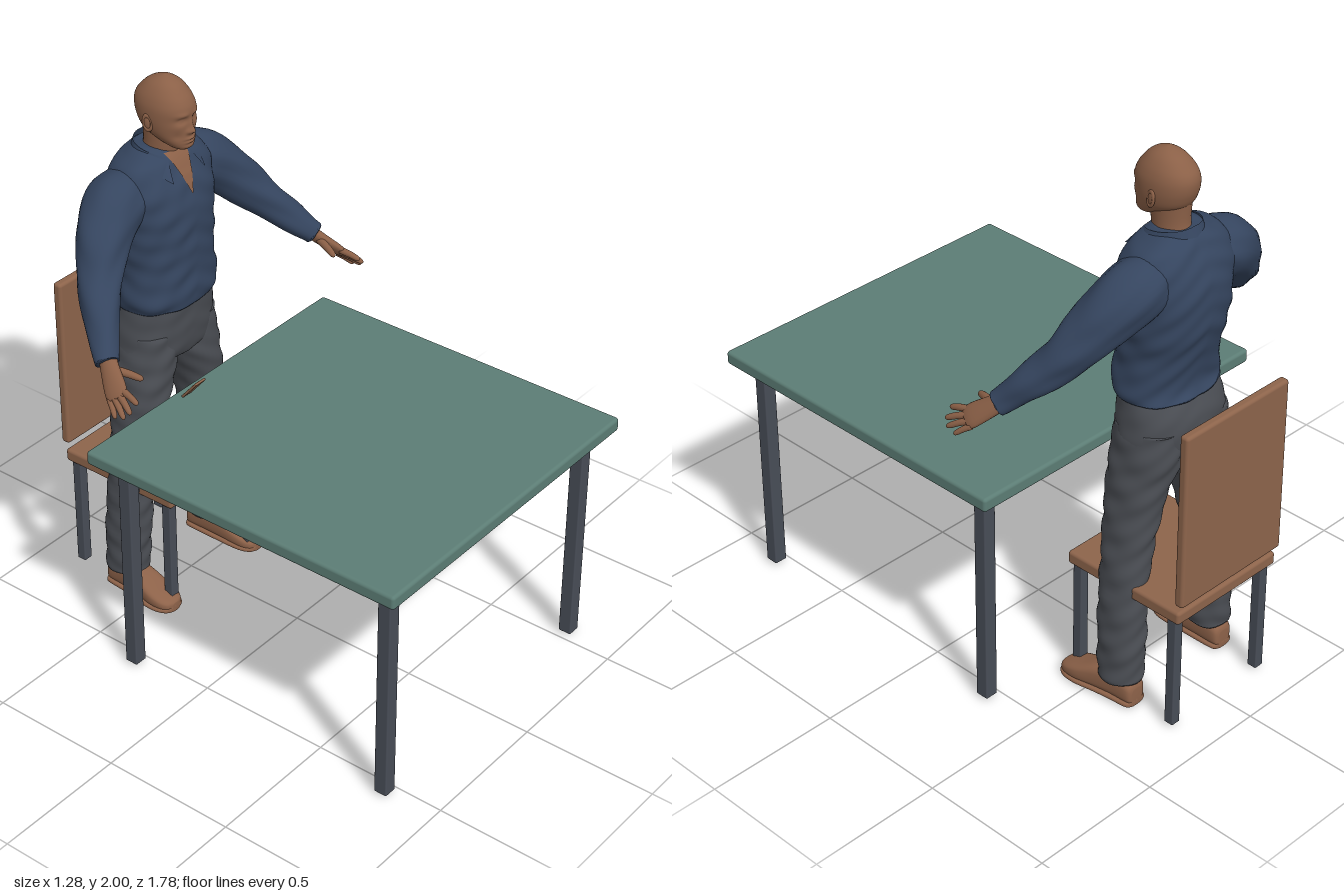
import * as THREE from 'three';
import { RoundedBoxGeometry } from 'three/addons/geometries/RoundedBoxGeometry.js';

const V = (x, y, z) => new THREE.Vector3(x, y, z);
const mat = (name, color, side = THREE.FrontSide) => {
  const m = new THREE.MeshStandardMaterial({ color, side });
  m.name = name;
  return m;
};

// Catmull-Rom interpolation of rows of numbers, n steps between rows
function smooth(rows, n) {
  const out = [];
  for (let i = 0; i < rows.length - 1; i++) {
    const a = rows[Math.max(i - 1, 0)], b = rows[i], c = rows[i + 1], d = rows[Math.min(i + 2, rows.length - 1)];
    for (let k = 0; k < n; k++) {
      const t = k / n;
      out.push(b.map((p, j) => {
        const cubic = 3 * (p - c[j]) + d[j] - a[j];
        const square = 2 * a[j] - 5 * p + 4 * c[j] - d[j];
        return p + 0.5 * t * (c[j] - a[j] + t * (square + t * cubic));
      }));
    }
  }
  out.push(rows[rows.length - 1]);
  return out;
}

// Closed superellipse ring spanned by the vectors a and b
function ring(c, a, b, seg, n = 2) {
  const p = (v) => Math.sign(v) * Math.abs(v) ** (2 / n);
  return Array.from({ length: seg }, (_, i) => {
    const t = (i / seg) * Math.PI * 2;
    return c.clone().addScaledVector(a, p(Math.cos(t))).addScaledVector(b, p(Math.sin(t)));
  });
}

// Skin over a list of rings, with both ends capped
function loft(rings) {
  const n = rings[0].length, last = (rings.length - 1) * n, pts = rings.flat(), index = [];
  const mid = (r) => r.reduce((s, p) => s.add(p), V(0, 0, 0)).divideScalar(n);
  pts.push(mid(rings[0]), mid(rings[rings.length - 1]));
  for (let i = 0; i < n; i++) {
    const k = (i + 1) % n;
    for (let j = 0; j < last; j += n) index.push(j + i, j + k, j + n + k, j + i, j + n + k, j + n + i);
    index.push(pts.length - 2, k, i, pts.length - 1, last + i, last + k);
  }
  const g = new THREE.BufferGeometry().setFromPoints(pts);
  g.setIndex(index);
  g.computeVertexNormals();
  return g;
}

// Upright body: rows of [y, centre x, half width, front z, back z], bottom to top
const upright = (rows, steps, seg, n) => loft(smooth(rows, steps).map(([y, x, rx, f, b]) =>
  ring(V(x, y, (f + b) / 2), V(0, 0, (f - b) / 2), V(rx, 0, 0), seg, n)));

// Limb: rows of [x, y, z, radius along side, other radius]
function limb(rows, steps, seg, side = V(0, 0, 1)) {
  const r = smooth(rows, steps), at = (i) => V(...r[Math.min(Math.max(i, 0), r.length - 1)].slice(0, 3));
  return loft(r.map((q, i) => {
    const t = at(i + 1).sub(at(i - 1)).normalize();
    const a = side.clone().addScaledVector(t, -side.dot(t)).normalize();
    return ring(at(i), a.clone().multiplyScalar(q[3]), t.clone().cross(a).multiplyScalar(q[4] ?? q[3]), seg);
  }));
}

// Soft cloth folds, pushed along the normals
function folds(g, amp) {
  const p = g.attributes.position, m = g.attributes.normal;
  for (let i = 0; i < p.count; i++) {
    const x = p.getX(i), y = p.getY(i), z = p.getZ(i);
    const d = amp * Math.sin(y * 62 + Math.abs(x) * 38) * Math.sin(z * 30 + y * 17 + x * 9);
    p.setXYZ(i, x + m.getX(i) * d, y + m.getY(i) * d, z + m.getZ(i) * d);
  }
  g.computeVertexNormals();
  return g;
}

// Open strip surface from f(u, v)
function sheet(f, nu, nv) {
  const g = new THREE.PlaneGeometry(1, 1, nu, nv), p = g.attributes.position;
  for (let i = 0; i < p.count; i++) p.setXYZ(i, ...f(p.getX(i) + 0.5, p.getY(i) + 0.5));
  g.computeVertexNormals();
  return g;
}

export function createModel() {
  const root = new THREE.Group();
  const skin = mat('skin', 0x8b6047, THREE.DoubleSide), shirt = mat('shirt blue', 0x35455f, THREE.DoubleSide);
  const trousers = mat('trouser grey', 0x4a4d53), shoe = mat('shoe leather', 0x8d6249);
  const wood = mat('chair brown', 0x8d644b), top = mat('table green', 0x5c7d75), metal = mat('leg metal', 0x484d57);
  const add = (name, geo, m, parent = root) => {
    const o = new THREE.Mesh(geo, m);
    o.name = name;
    parent.add(o);
    return o;
  };
  const group = (name) => {
    const g = new THREE.Group();
    g.name = name;
    root.add(g);
    return g;
  };
  const box = (name, w, h, d, x, y, z, m, parent, r = 0.012) => {
    const o = add(name, new RoundedBoxGeometry(w, h, d, 3, r), m, parent);
    o.position.set(x, y, z);
    return o;
  };

  // Table, chair and small tilted tablet
  const table = group('table'), chair = group('chair'), man = group('man');
  box('tableTop', 1.28, 0.052, 1.28, 0, 0.88, 0.25, top, table);
  box('chairSeat', 0.485, 0.05, 0.5, 0, 0.47, -0.625, wood, chair);
  box('chairBack', 0.49, 0.665, 0.036, 0, 0.855, -0.873, wood, chair);
  for (const s of [-1, 1]) {
    for (const z of [0.803, -0.29]) box('tableLeg', 0.05, 0.85, 0.05, s * 0.545, 0.435, z, metal, table, 0.005);
    for (const z of [-0.41, -0.836]) box('chairLeg', 0.037, 0.44, 0.037, s * 0.213, 0.23, z, metal, chair, 0.004);
  }
  box('tablet', 0.052, 0.1, 0.009, -0.171, 0.949, -0.317, wood, root, 0.003).rotation.x = 0.7;

  // Shirt body
  const torso = [
    [1.16, 0, 0.19, -0.45, -0.72], [1.2, 0, 0.2, -0.442, -0.705], [1.3, 0, 0.187, -0.442, -0.72],
    [1.42, 0, 0.193, -0.44, -0.75], [1.54, 0, 0.203, -0.443, -0.755], [1.63, 0, 0.208, -0.465, -0.738],
    [1.695, 0, 0.18, -0.495, -0.71], [1.725, 0, 0.12, -0.515, -0.69], [1.745, 0, 0.07, -0.535, -0.67]];
  add('shirtBody', folds(upright(torso, 9, 72, 2.35), 0.004), shirt, man);

  // Open neckline lying on the chest, and the collar round the neck
  const chest = smooth(torso, 20);
  const frontZ = (x, y) => {
    const [, , rx, f, b] = chest.find((r) => r[0] >= y);
    return (f + b) / 2 + ((f - b) / 2) * (1 - Math.abs(x / rx) ** 2.35) ** (1 / 2.35);
  };
  add('openNeck', sheet((u, v) => {
    const y = 1.59 + v * 0.145, x = (u - 0.5) * 2 * (0.002 + v * 0.05);
    return [x, y, frontZ(x, y) + 0.006];
  }, 10, 14), skin, man);
  add('collar', sheet((u, v) => {
    const k = Math.abs(u - 0.5) * 2, a = (u - 0.5) * 2 * 2.62;
    const r = THREE.MathUtils.lerp(0.094 + 0.068 * k ** 3, 0.074 + 0.026 * k, v);
    const y = THREE.MathUtils.lerp(1.715 - 0.062 * k ** 4, 1.762 - 0.037 * k * k, v);
    return [Math.sin(a) * r, y, -0.6 - Math.cos(a) * r];
  }, 48, 4), shirt, man);

  // Trouser seat
  add('trouserHips', folds(upright([
    [0.925, 0, 0.09, -0.53, -0.67], [0.955, 0, 0.195, -0.482, -0.715], [1.02, 0, 0.206, -0.466, -0.738],
    [1.1, 0, 0.197, -0.46, -0.735], [1.19, 0, 0.182, -0.455, -0.695]], 8, 60, 2.3), 0.002), trousers, man);

  for (const s of [-1, 1]) {
    // Trouser leg: y, inner x, outer x, front z, back z
    const leg = [
      [0.095, 0.15, 0.293, -0.53, -0.685], [0.2, 0.145, 0.291, -0.522, -0.69], [0.35, 0.138, 0.283, -0.513, -0.688],
      [0.55, 0.115, 0.265, -0.505, -0.682], [0.7, 0.085, 0.245, -0.49, -0.688], [0.85, 0.038, 0.228, -0.478, -0.703],
      [0.94, 0.004, 0.216, -0.476, -0.722], [1.06, 0.01, 0.2, -0.48, -0.722]]
      .map(([y, i, o, f, b]) => [y, s * (i + o) / 2, (o - i) / 2, f, b]);
    add('trouserLeg', folds(upright(leg, 10, 40, 2.2), 0.0045), trousers, man);

    // Shoe: z, centre x, half width, height
    const last = [[-0.685, 0.222, 0.025, 0.07], [-0.67, 0.222, 0.042, 0.095], [-0.6, 0.224, 0.047, 0.115],
      [-0.53, 0.229, 0.052, 0.105], [-0.46, 0.235, 0.058, 0.077], [-0.41, 0.236, 0.054, 0.058], [-0.38, 0.236, 0.038, 0.045],
      [-0.37, 0.236, 0.015, 0.035]];
    const shoeRings = (h0, grow, high) => loft(smooth(last, 5).map(([z, x, w, h]) => {
      const half = (high ?? h - h0) / 2;
      return ring(V(s * x, h0 + half, z), V(w + grow, 0, 0), V(0, half, 0), 28, 3);
    }));
    add('shoeUpper', shoeRings(0.008, 0), shoe, man);
    add('shoeSole', shoeRings(0, 0.005, 0.024), shoe, man);

    // Sleeve
    add('sleeve', folds(limb([
      [0.1, 1.6, -0.61, 0.09], [0.2, 1.587, -0.61, 0.105], [0.3, 1.52, -0.58, 0.094], [0.39, 1.415, -0.525, 0.077],
      [0.46, 1.33, -0.46, 0.063], [0.532, 1.24, -0.378, 0.044], [0.546, 1.222, -0.36, 0.041]]
      .map(([x, ...r]) => [s * x, ...r]), 10, 36), 0.0045), shirt, man);

    // Palm, four fingers and thumb
    const across = V(s * 0.453, -0.604, -0.655);
    const part = (name, rows) => add(name, limb(rows.map(([x, ...r]) => [s * x, ...r]), 4, 14, across), skin, man);
    part('palm', [[0.525, 1.243, -0.38, 0.03, 0.024], [0.552, 1.208, -0.345, 0.035, 0.022],
      [0.588, 1.163, -0.29, 0.043, 0.017], [0.602, 1.144, -0.27, 0.036, 0.011]]);
    const digit = (name, a, b, r) => part(name, [0, 0.5, 0.85, 0.97, 1].map((t, i) => [
      ...a.map((p, j) => THREE.MathUtils.lerp(p, b[j], t) + (j === 1 ? 0.012 * t * (1 - t) : 0)),
      r * [1.1, 1, 0.85, 0.5, 0.1][i]]));
    digit('indexFinger', [0.581, 1.169, -0.265], [0.593, 1.15, -0.19], 0.0115);
    digit('middleFinger', [0.59, 1.157, -0.275], [0.622, 1.124, -0.196], 0.0115);
    digit('ringFinger', [0.6, 1.145, -0.287], [0.635, 1.105, -0.214], 0.011);
    digit('littleFinger', [0.607, 1.133, -0.3], [0.637, 1.094, -0.25], 0.01);
    digit('thumb', [0.545, 1.205, -0.335], [0.509, 1.186, -0.238], 0.0135);

    // Ear: rim and inner bowl
    const rim = add('earRim', new THREE.TorusGeometry(0.018, 0.0055, 10, 24), skin, man);
    const bowl = add('earBowl', new THREE.SphereGeometry(0.018, 16, 12), skin, man);
    for (const o of [rim, bowl]) {
      o.position.set(s * 0.084, 1.85, -0.566);
      o.rotation.set(-0.15, s * 1.3, 0);
    }
    rim.scale.set(0.85, 1.4, 1);
    bowl.scale.set(0.8, 1.3, 0.3);
  }

  // Neck
  add('neck', upright([[1.62, 0, 0.066, -0.53, -0.66], [1.7, 0, 0.06, -0.52, -0.655], [1.76, 0, 0.058, -0.51, -0.645],
    [1.85, 0, 0.062, -0.5, -0.65]], 6, 36), skin, man);

  // Head, with the face shaped by soft bumps: x, y, width, height, depth
  const head = upright([
    [1.753, 0, 0.022, -0.465, -0.51], [1.765, 0, 0.042, -0.452, -0.54], [1.79, 0, 0.063, -0.45, -0.59],
    [1.82, 0, 0.077, -0.45, -0.643], [1.86, 0, 0.084, -0.45, -0.665], [1.9, 0, 0.084, -0.448, -0.672],
    [1.93, 0, 0.077, -0.459, -0.665], [1.955, 0, 0.065, -0.477, -0.645], [1.977, 0, 0.048, -0.498, -0.62],
    [1.992, 0, 0.027, -0.525, -0.588], [2, 0, 0.003, -0.554, -0.56]], 8, 120, 2.15);
  const bumps = [
    [0, 1.828, 0.011, 0.012, 0.018], [0, 1.85, 0.009, 0.02, 0.009], [0.013, 1.825, 0.007, 0.007, 0.007],
    [0.033, 1.888, 0.022, 0.008, 0.005], [0.031, 1.868, 0.017, 0.01, -0.011], [0.032, 1.867, 0.011, 0.005, 0.006],
    [0, 1.798, 0.02, 0.005, 0.007], [0, 1.786, 0.017, 0.005, 0.007], [0, 1.792, 0.024, 0.002, -0.004],
    [0, 1.777, 0.022, 0.004, -0.003], [0.05, 1.845, 0.018, 0.014, 0.003], [0.045, 1.81, 0.015, 0.015, -0.004]];
  const p = head.attributes.position;
  for (let i = 0; i < p.count; i++) {
    if (p.getZ(i) < -0.54) continue;
    let d = 0;
    for (const [x, y, w, h, depth] of bumps) {
      const dx = (Math.abs(p.getX(i)) - x) / w, dy = (p.getY(i) - y) / h;
      d += depth * Math.exp(-dx * dx - dy * dy);
    }
    p.setZ(i, p.getZ(i) + d);
  }
  head.computeVertexNormals();
  add('head', head, skin, man);

  return root;
}
